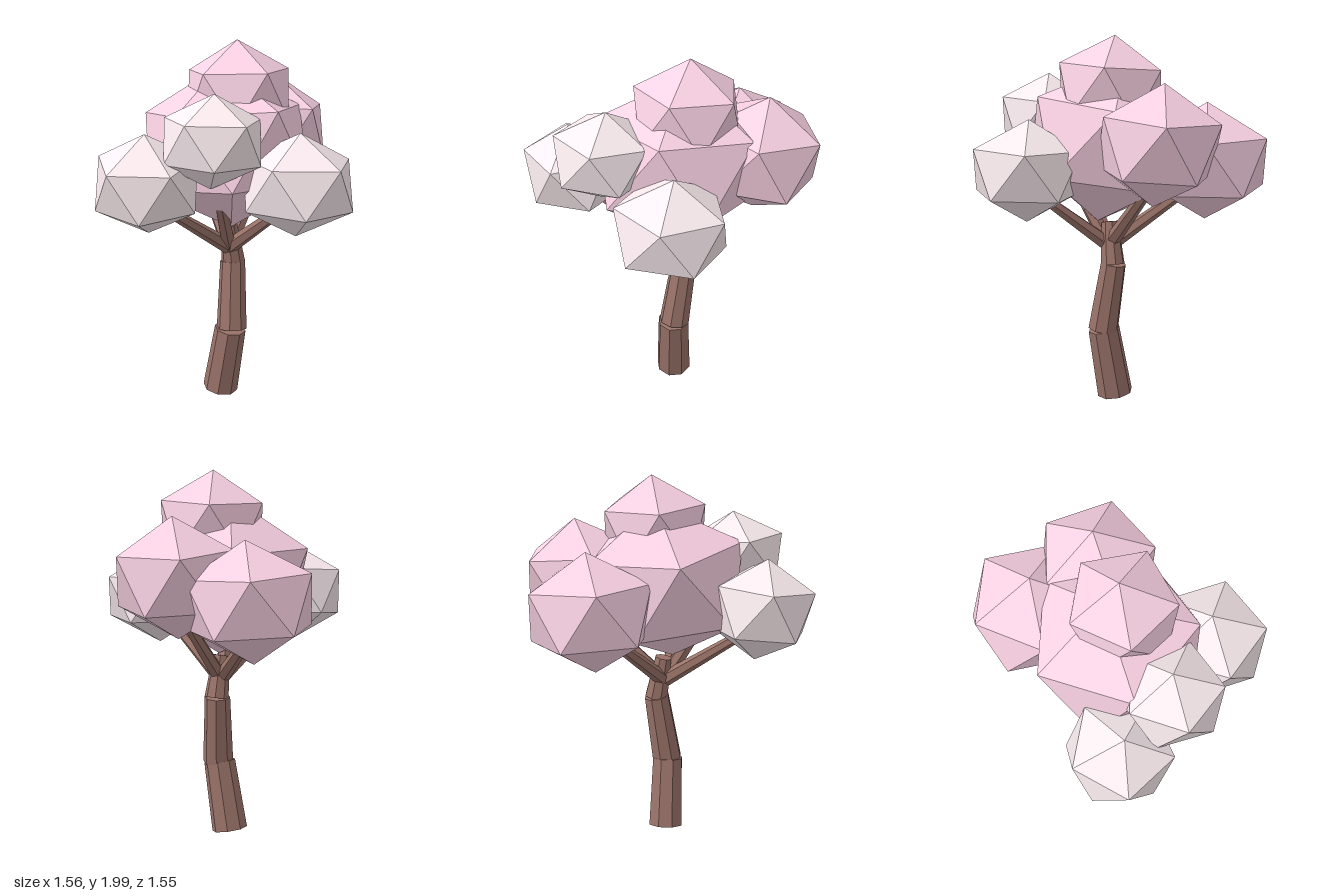
import * as THREE from 'three';

const V = (p) => new THREE.Vector3(...p);
const mat = (color) => new THREE.MeshStandardMaterial({ color, flatShading: true });

// Orthonormal frame whose x axis is a and whose xy plane holds b
function frame(a, b) {
  const x = a.clone().normalize();
  const z = new THREE.Vector3().crossVectors(a, b).normalize();
  const y = new THREE.Vector3().crossVectors(z, x);
  return new THREE.Matrix4().makeBasis(x, y, z);
}

// Faceted, slightly squashed leaf clump (width and height radii), turned so one
// corner points at "corner" and a neighbouring one towards "next"
function clump(name, material, [rw, rh], center, corner, next) {
  const t = (1 + Math.sqrt(5)) / 2;
  const c = V(center);
  const size = new THREE.Vector3(rw, rh, rw);
  const target = frame(V(corner).sub(c).divide(size), V(next).sub(c).divide(size));
  const source = frame(new THREE.Vector3(1, t, 0), new THREE.Vector3(-1, t, 0));
  const geometry = new THREE.IcosahedronGeometry(1, 0)
    .applyMatrix4(target.multiply(source.transpose()))
    .scale(rw, rh, rw);
  const mesh = new THREE.Mesh(geometry, material);
  mesh.position.copy(c);
  mesh.name = name;
  return mesh;
}

// Tapered log between two points
function log(name, material, from, to, r0, r1, sides) {
  const a = V(from), b = V(to);
  const dir = b.clone().sub(a);
  const mesh = new THREE.Mesh(new THREE.CylinderGeometry(r1, r0, dir.length(), sides), material);
  mesh.quaternion.setFromUnitVectors(new THREE.Vector3(0, 1, 0), dir.normalize());
  mesh.position.copy(a).add(b).multiplyScalar(0.5);
  mesh.name = name;
  return mesh;
}

export function createModel() {
  const tree = new THREE.Group();
  tree.name = 'tree';
  const bark = mat(0x9a7369), pink = mat(0xfad2e4), pale = mat(0xfbecf0);

  // Trunk: three leaning segments
  const trunk = new THREE.Group();
  trunk.name = 'trunk';
  trunk.add(
    log('lowerTrunk', bark, [-0.002, 0.023, -0.017], [0.066, 0.4, -0.035], 0.098, 0.087, 8),
    log('middleTrunk', bark, [0.071, 0.4, -0.041], [0.024, 0.775, -0.082], 0.084, 0.07, 8),
    log('upperTrunk', bark, [0.028, 0.77, -0.085], [0.035, 1.0, -0.045], 0.066, 0.047, 8),
  );
  tree.add(trunk);

  // Branches fanning out to the clumps
  const branches = new THREE.Group();
  branches.name = 'branches';
  const ends = [
    ['leftBranch', [0.42, 1.16, -0.1]],
    ['rightBranch', [-0.35, 1.165, -0.15]],
    ['frontBranch', [0.06, 1.15, 0.37]],
    ['frontLeftBranch', [0.25, 1.33, 0.2]],
    ['backBranch', [-0.1, 1.25, -0.4]],
  ];
  for (const [name, end] of ends) {
    branches.add(log(name, bark, [0.04, 0.87, -0.045], end, 0.043, 0.028, 6));
  }
  tree.add(branches);

  // Blossom clumps
  const crown = new THREE.Group();
  crown.name = 'crown';
  crown.add(
    clump('topClump', pink, [0.314, 0.292], [0.045, 1.708, -0.1], [0.022, 2, -0.108], [0.31, 1.84, -0.08]),
    clump('centerClump', pink, [0.495, 0.435], [0.022, 1.432, -0.036], [-0.05, 1.86, -0.055], [0.457, 1.68, -0.06]),
    clump('backClump', pink, [0.347, 0.318], [-0.115, 1.45, -0.457], [-0.135, 1.768, -0.49], [-0.06, 1.6, -0.78]),
    clump('rightClump', pink, [0.366, 0.315], [-0.443, 1.338, -0.238], [-0.543, 1.226, 0.06], [-0.785, 1.2, -0.25]),
    clump('frontClump', pale, [0.302, 0.27], [0.068, 1.317, 0.506], [0.093, 1.585, 0.53], [0.135, 1.44, 0.785]),
    clump('frontLeftClump', pale, [0.285, 0.24], [0.312, 1.55, 0.268], [0.304, 1.79, 0.25], [0.553, 1.65, 0.25]),
    clump('leftClump', pale, [0.324, 0.27], [0.498, 1.302, -0.14], [0.492, 1.57, -0.155], [0.785, 1.443, -0.17]),
  );
  tree.add(crown);
  return tree;
}
